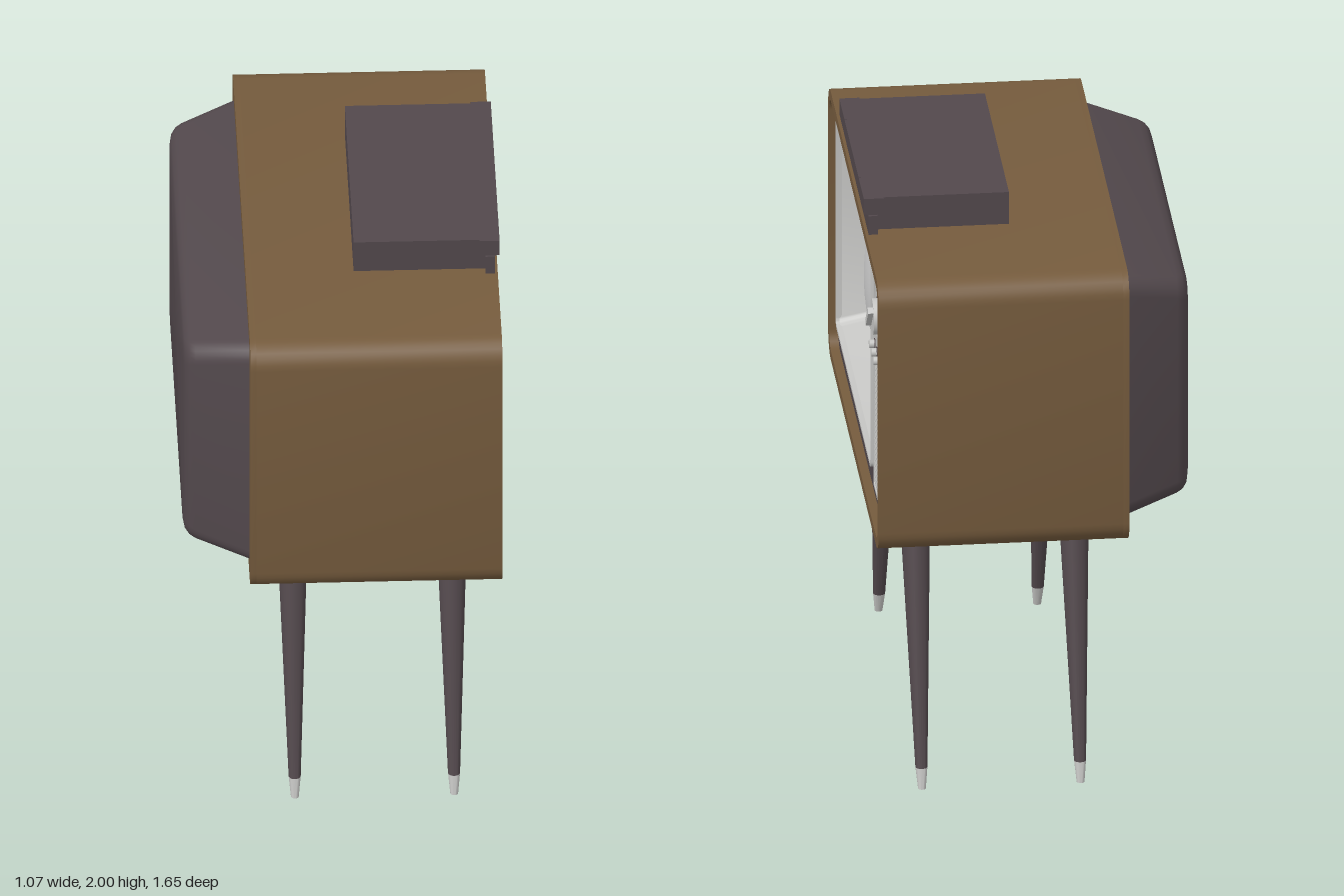
import * as THREE from 'three';
import { toCreasedNormals } from 'three/addons/utils/BufferGeometryUtils.js';

const wood = new THREE.MeshStandardMaterial({ color: 0x755b3d });
const dark = new THREE.MeshStandardMaterial({ color: 0x52484c });
const silver = new THREE.MeshStandardMaterial({ color: 0xc6c6c4, side: THREE.DoubleSide });
const glass = new THREE.MeshStandardMaterial({ color: 0xcccccc, side: THREE.DoubleSide });
wood.name = 'wood'; dark.name = 'darkPlastic'; silver.name = 'silver'; glass.name = 'screenGlass';

// Counter-clockwise points of a rounded rectangle
function ring(hu, hv, r, n = 6) {
  const pts = [];
  [[1, 1], [-1, 1], [-1, -1], [1, -1]].forEach(([su, sv], q) => {
    for (let i = 0; i <= n; i++) {
      const a = (q + i / n) * Math.PI / 2;
      pts.push(new THREE.Vector2(su * (hu - r) + r * Math.cos(a), sv * (hv - r) + r * Math.sin(a)));
    }
  });
  return pts;
}

// Skin over closed loops of Vector3 points
function loft(sections, crease = 0.6) {
  const n = sections[0].length, idx = [];
  for (let i = 0; i < sections.length - 1; i++) {
    for (let j = 0; j < n; j++) {
      const k = (j + 1) % n, a = i * n + j, b = i * n + k;
      idx.push(a, a + n, b, b, a + n, b + n);
    }
  }
  const g = new THREE.BufferGeometry().setFromPoints(sections.flat());
  g.setIndex(idx);
  return toCreasedNormals(g, crease);
}

// Flat slab with rounded holes; hole = [u, v, halfU, halfV, r]
function slab(points, z0, z1, holes = []) {
  const s = new THREE.Shape(points);
  for (const [u, v, hu, hv, r] of holes) {
    s.holes.push(new THREE.Path(ring(hu, hv, r).map(p => p.add(new THREE.Vector2(u, v))).reverse()));
  }
  const g = new THREE.ExtrudeGeometry(s, { depth: z1 - z0, bevelEnabled: false });
  return toCreasedNormals(g.translate(0, 0, z0), 0.6);
}

export function createModel() {
  const model = new THREE.Group();
  model.name = 'television';
  const set = new THREE.Group(); // built facing +z, then turned to face +x
  set.name = 'televisionSet';
  set.rotation.y = Math.PI / 2;
  model.add(set);

  const add = (name, geo, mat, x = 0, y = 0, z = 0) => {
    const m = new THREE.Mesh(geo, mat);
    m.name = name;
    m.position.set(x, y, z);
    set.add(m);
    return m;
  };
  const box = (name, mat, x0, x1, y0, y1, z0, z1) =>
    add(name, new THREE.BoxGeometry(x1 - x0, y1 - y0, z1 - z0), mat, (x0 + x1) / 2, (y0 + y1) / 2, (z0 + z1) / 2);

  const cy = 1.385, face = 0.48;

  // Wooden cabinet: open sleeve and back wall
  add('cabinet', slab(ring(0.825, 0.485, 0.08), -0.3, 0.51, [[0, 0, 0.79, 0.452, 0.055]]), wood, 0, cy);
  add('cabinetBack', slab(ring(0.825, 0.485, 0.08), -0.32, -0.3), wood, 0, cy);

  // Rear housing, tapering with a rounded edge
  const back = [[-0.32, 0.735, 0.435], [-0.495, 0.672, 0.392], [-0.515, 0.66, 0.384],
    [-0.529, 0.64, 0.372], [-0.535, 0.61, 0.355], [-0.535, 0, 0]];
  add('rearHousing', loft(back.map(([z, hu, hv]) =>
    ring(hu, hv, Math.min(0.06, hu)).map(p => new THREE.Vector3(hu ? p.x : 0, hv ? p.y : 0, z)))), dark, 0, cy);

  // Front panel with the screen opening
  const su = -0.1875, sv = 0.01, hu = 0.5725, hv = 0.38;
  add('frontPanel', slab(ring(0.79, 0.452, 0.055), 0.45, face, [[su, sv, hu - 0.005, hv - 0.005, 0.02]]), dark, 0, cy);
  add('screenTrim', slab(ring(hu, hv, 0.025), face - 0.03, face + 0.012, [[0, 0, hu - 0.012, hv - 0.012, 0.02]]), silver, su, cy + sv);

  // Funnel around the tube
  const mouth = ring(hu - 0.01, hv - 0.01, 0.03);
  const inset = (p, d) => new THREE.Vector2(p.x * (1 - 0.23 * d / hu), p.y * (1 - 0.33 * d / hv));
  add('screenSurround', loft([0.27, 0].map(d => mouth.map(p => {
    const q = inset(p, d);
    return new THREE.Vector3(q.x, q.y, face - d);
  }))), silver, su, cy + sv);

  // Domed screen, trimmed where it meets the funnel
  const depth = p => 0.03 + 0.11 * (p.x / 0.53) ** 2 + 0.085 * (p.y / 0.33) ** 2;
  const edgeLoop = [];
  mouth.forEach((p, i) => {
    const next = mouth[(i + 1) % mouth.length];
    const steps = p.distanceTo(next) > 0.2 ? 14 : 1;
    for (let s = 0; s < steps; s++) {
      const m = p.clone().lerp(next, s / steps);
      let q = m;
      for (let k = 0; k < 5; k++) q = inset(m, depth(q));
      edgeLoop.push(q);
    }
  });
  const domeRings = [];
  for (let i = 0; i <= 12; i++) {
    domeRings.push(edgeLoop.map(p => {
      const q = p.clone().multiplyScalar(i / 12);
      return new THREE.Vector3(q.x, q.y, face - depth(q));
    }));
  }
  add('screen', loft(domeRings, 1), glass, su, cy + sv);

  // Control panel frame and the strip behind the buttons
  const cu = 0.63;
  add('controlFrame', slab(ring(0.125, 0.38, 0.012), face, 0.495,
    [[0, 0.288, 0.11, 0.08, 0.004], [0, -0.133, 0.113, 0.236, 0.004]]), silver, cu, cy + sv);
  box('dialPlate', silver, cu - 0.1, cu + 0.1, 1.613, 1.753, face, 0.49);

  // Tuning knob with a slanted grip
  const disc = (name, r, z0, z1, y, x, mat = silver) => {
    const g = new THREE.CylinderGeometry(r, r, z1 - z0, 32).rotateX(Math.PI / 2);
    return add(name, g, mat, x, y, (z0 + z1) / 2);
  };
  disc('knobShadowRing', 0.066, 0.49, 0.493, 1.68, cu, dark);
  disc('knob', 0.06, 0.49, 0.512, 1.68, cu);
  const grip = box('knobGrip', silver, cu - 0.056, cu + 0.056, 1.669, 1.691, 0.512, 0.53);
  grip.rotation.z = Math.PI / 4;

  // Three small buttons
  for (const du of [-0.068, 0, 0.068]) {
    disc('buttonRing', 0.018, 0.495, 0.498, 1.55, cu + du, dark);
    disc('button', 0.014, 0.495, 0.515, 1.55, cu + du);
  }

  // Speaker grille slats
  for (let i = 0; i < 23; i++) {
    const y = 1.036 + i * 0.0204;
    box('speakerSlat', silver, cu - 0.113, cu + 0.113, y - 0.0065, y + 0.0065, face, 0.492);
  }

  // Box on top with a stepped front
  box('topBox', dark, -0.392, 0.392, 1.885, 2, 0.035, 0.47);
  box('topBoxFrontLower', dark, -0.4, 0.4, 1.868, 1.937, 0.47, 0.5);
  box('topBoxFrontUpper', dark, -0.4, 0.4, 1.942, 2, 0.45, 0.508);
  box('topBoxFrontGroove', dark, -0.39, 0.39, 1.93, 1.95, 0.46, 0.497);
  box('topBoxFlap', dark, -0.228, 0.228, 1.944, 2, 0.5, 0.516);
  for (const s of [-1, 1]) box('topBoxSidePlate', dark, s * 0.316 - 0.084, s * 0.316 + 0.084, 1.944, 2, 0.5, 0.516);

  // Splayed legs with collars and metal tips
  const legPart = (name, mat, y0, y1, r0, r1, side, z) => {
    const g = new THREE.CylinderGeometry(r1, r0, y1 - y0, 24);
    g.translate(0, (y0 + y1) / 2, 0);
    const p = g.attributes.position; // shear outwards towards the floor
    for (let i = 0; i < p.count; i++) p.setX(i, p.getX(i) + side * (0.708 - 0.258 * p.getY(i)));
    g.computeVertexNormals();
    add(name, toCreasedNormals(g, 0.6), mat, 0, 0, z);
  };
  for (const side of [-1, 1]) {
    for (const z of [-0.17, 0.355]) {
      legPart('legCollar', dark, 0.882, 0.905, 0.055, 0.06, side, z);
      legPart('leg', dark, 0.07, 0.885, 0.02, 0.05, side, z);
      legPart('legTip', silver, 0, 0.07, 0.013, 0.02, side, z);
    }
  }
  return model;
}
